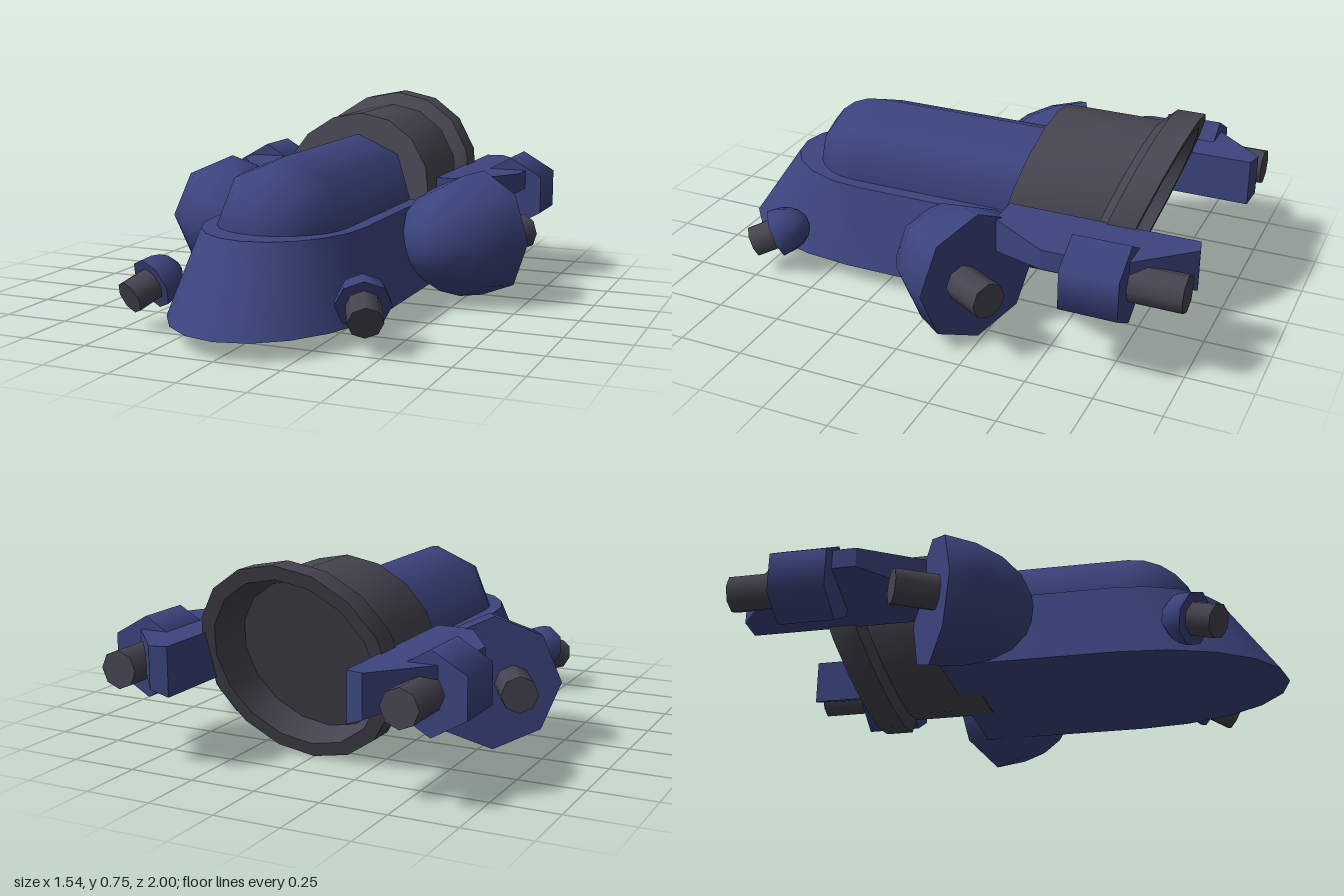
import * as THREE from 'three';
import { toCreasedNormals } from 'three/addons/utils/BufferGeometryUtils.js';

const blue = new THREE.MeshStandardMaterial({ color: 0x3b447e });
blue.name = 'navy paint';
const grey = new THREE.MeshStandardMaterial({ color: 0x464450 });
grey.name = 'dark metal';

const v2 = (x, y) => new THREE.Vector2(x, y);

function addMesh(parent, name, geometry, material) {
  const mesh = new THREE.Mesh(geometry, material);
  mesh.name = name;
  parent.add(mesh);
  return mesh;
}

// Moves every vertex by a rule
function warp(geometry, rule) {
  const p = geometry.attributes.position;
  const v = new THREE.Vector3();
  for (let i = 0; i < p.count; i++) {
    rule(v.fromBufferAttribute(p, i));
    p.setXYZ(i, v.x, v.y, v.z);
  }
  return geometry;
}

// Upright prism over an outline of [x, z] points
function prism(outline, height) {
  const shape = new THREE.Shape(outline.map(([x, z]) => v2(x, -z)));
  return new THREE.ExtrudeGeometry(shape, { depth: height, bevelEnabled: false }).rotateX(-Math.PI / 2);
}

// Cylinder running along z from z0 to z1
function barrel(radius, z0, z1, sides) {
  return new THREE.CylinderGeometry(radius, radius, Math.abs(z1 - z0), sides)
    .rotateX(Math.PI / 2).translate(0, 0, (z0 + z1) / 2);
}

// Domed pod with a flat face towards dir, and a barrel standing on the face
function gunPod(name, centre, dir, radius, depth, gunRadius, gunLength, gunOffset) {
  const pod = new THREE.Group();
  pod.name = name;
  const profile = [v2(0, 0)];
  const steps = 5;
  for (let i = 0; i <= steps; i++) {
    const a = (i / steps) * Math.PI / 2;
    profile.push(v2(i === steps ? 0 : radius * Math.cos(a), depth * Math.sin(a)));
  }
  const dome = new THREE.LatheGeometry(profile, 8).rotateX(-Math.PI / 2);
  addMesh(pod, 'podDome', toCreasedNormals(dome, 0.95), blue);
  addMesh(pod, 'podBarrel', barrel(gunRadius, -0.03, gunLength, 8), grey).position.x = gunOffset;
  pod.position.set(...centre);
  pod.lookAt(pod.position.clone().add(new THREE.Vector3(...dir)));
  return pod;
}

export function createModel() {
  const model = new THREE.Group();
  model.name = 'hoverCraft';

  // Hull: rounded bow, narrowing towards the deck
  const rear = -0.24, bow = 0.4;
  const outline = [[-0.39, rear]];
  for (let i = -5; i <= 5; i++) {
    const a = i * Math.PI / 10;
    outline.push([0.39 * Math.sin(a), bow + 0.6 * Math.cos(a)]);
  }
  outline.push([0.39, rear]);
  const hull = warp(prism(outline, 0.3), v => {
    if (v.y > 0.15) {
      v.x *= 0.30 / 0.39;
      if (v.z > rear + 0.1) v.z = 0.385 + (v.z - bow) * 0.667;
    }
  }).translate(0, 0.07, 0);
  addMesh(model, 'hull', toCreasedNormals(hull, 0.6), blue);

  // Canopy: long capsule sunk into the deck
  const canopy = new THREE.CapsuleGeometry(0.247, 0.7, 6, 8).rotateX(Math.PI / 2);
  addMesh(model, 'canopy', canopy, blue).position.set(0, 0.37, 0.08);

  // Engine: raked drum with a flared rim and a recessed exhaust
  const front = -0.232;
  const drum = new THREE.LatheGeometry([
    v2(0, -0.57), v2(0.29, -0.57), v2(0.32, -0.72), v2(0.373, -0.72),
    v2(0.373, -0.615), v2(0.325, -0.58), v2(0.325, front), v2(0, front),
  ], 16).rotateX(Math.PI / 2);
  warp(drum, v => { v.z -= v.y * (v.z > -0.4 ? 0.27 : 0.36); });
  addMesh(model, 'engine', toCreasedNormals(drum, 0.7), grey).position.y = 0.375;

  for (const side of [1, -1]) {
    const label = side > 0 ? 'left' : 'right';

    // Rear pod, facing back and outwards
    model.add(gunPod(label + 'RearPod', [0.553 * side, 0.255, -0.235], [0.5 * side, 0, -0.866],
      0.25, 0.38, 0.068, 0.16, -0.07 * side));

    // Front pod, facing forwards, outwards and down
    model.add(gunPod(label + 'FrontPod', [0.414 * side, 0.162, 0.69], [0.41 * side, -0.37, 0.84],
      0.1, 0.13, 0.063, 0.1, 0));

    // Fin: flat top, underside rising towards the outer edge
    const finOutline = [
      [0.345, -0.27], [0.48, -0.27], [0.625, -0.5], [0.625, -0.76], [0.41, -1], [0.345, -0.985],
    ].map(([x, z]) => [x * side, z]);
    const fin = warp(prism(finOutline, 0.18), v => {
      if (v.y < 0.09) v.y = (Math.abs(v.x) - 0.345) * 0.375;
    }).translate(0, 0.28, 0);
    addMesh(model, label + 'Fin', toCreasedNormals(fin, 0.3), blue);

    // Cannon on the fin
    const cannon = new THREE.Group();
    cannon.name = label + 'Cannon';
    cannon.position.set(0.56 * side, 0.36, 0);
    addMesh(cannon, 'cannonHousing', barrel(0.15, -0.59, -0.805, 6), blue);
    addMesh(cannon, 'cannonBarrel', barrel(0.07, -0.78, -1, 8), grey).position.x = -0.02 * side;
    model.add(cannon);
  }
  return model;
}
